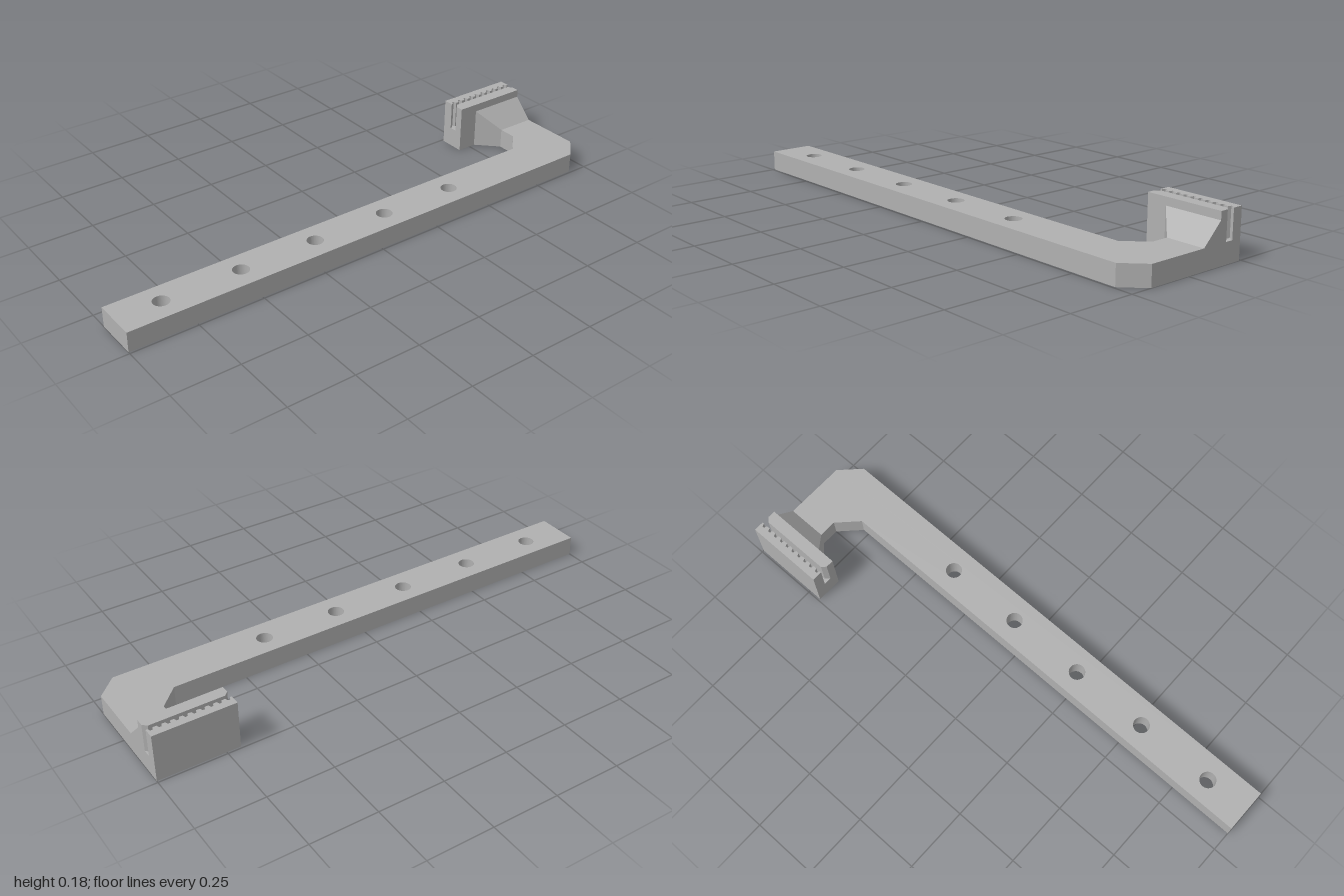
import * as THREE from 'three';

// Vertical prism from a plan outline of [x, z] points
function prism(points, y0, y1, holes = []) {
  const shape = new THREE.Shape(points.map(([x, z]) => new THREE.Vector2(x, -z)));
  for (const [x, z, r] of holes) {
    shape.holes.push(new THREE.Path().absarc(x, -z, r, 0, Math.PI * 2, true));
  }
  const geometry = new THREE.ExtrudeGeometry(shape, { depth: y1 - y0, bevelEnabled: false, curveSegments: 32 });
  geometry.rotateX(-Math.PI / 2);
  geometry.translate(0, y0, 0);
  return geometry;
}

export function createModel() {
  const group = new THREE.Group();
  const grey = new THREE.MeshStandardMaterial({ color: 0xb0b0b0 });
  grey.name = 'grey plastic';
  const add = (name, geometry) => {
    const mesh = new THREE.Mesh(geometry, grey);
    mesh.name = name;
    group.add(mesh);
    return mesh;
  };

  const T = 0.0755; // arm thickness
  const TOP = 0.181; // clamp height
  const OUT = -0.242, IN = -0.143; // clamp sides
  const BACK = -1, FRONT = -0.698; // clamp ends

  // Hooked arm with a row of screw holes
  const holes = [];
  for (let i = 0; i < 5; i++) holes.push([0.157, 0.831 - i * 0.302, 0.03]);
  add('arm', prism([
    [0.242, 1], [0.242, -0.925], [0.167, BACK], [-0.068, BACK],
    [-0.068, -0.85], [0, -0.85], [0.0755, -0.775], [0.0755, 1],
  ], 0, T, holes));

  // Flared gusset, its top rising towards the clamp
  const gusset = prism([[-0.068, -0.85], [-0.068, BACK], [IN, BACK], [IN, -0.775]], 0, T);
  const p = gusset.attributes.position;
  for (let i = 0; i < p.count; i++) {
    if (p.getX(i) < -0.1 && p.getY(i) > 0.01) p.setY(i, 0.151);
  }
  gusset.computeVertexNormals();
  add('gusset', gusset);

  // Clamp base under the slot
  add('clampBase', prism([[OUT, FRONT], [IN, FRONT], [IN, BACK], [OUT, BACK]], 0, T));

  // Outer jaw with belt teeth facing the slot
  const teeth = 10, pitch = (FRONT - BACK) / teeth;
  const tip = -0.203, root = -0.2145;
  const outer = [[OUT, BACK], [OUT, FRONT]];
  for (let i = 0; i < teeth; i++) {
    const z = FRONT - i * pitch;
    outer.push([tip, z], [tip, z - pitch * 0.22], [root, z - pitch * 0.36],
      [root, z - pitch * 0.64], [tip, z - pitch * 0.78]);
  }
  outer.push([tip, BACK]);
  add('toothedJaw', prism(outer, T, TOP));

  // Inner jaw with chamfered slot entries
  const wall = -0.188, c = 0.015;
  add('plainJaw', prism([
    [IN, FRONT], [IN, BACK], [wall + c, BACK], [wall, BACK + c],
    [wall, FRONT - c], [wall + c, FRONT],
  ], T, TOP));

  return group;
}
